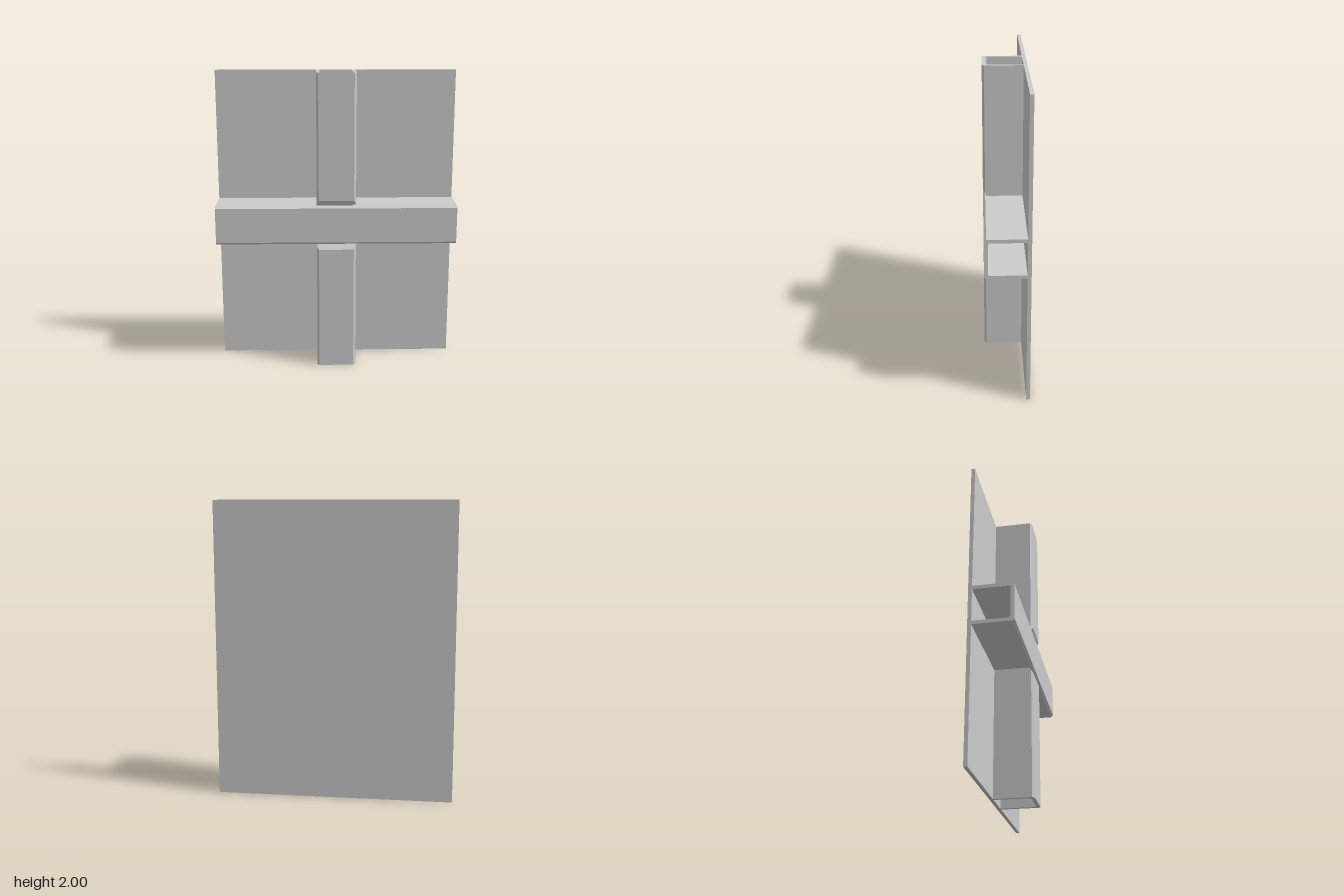
import * as THREE from 'three';

const HALF = 0.13;     // half width of the channels
const INNER = 0.107;   // half width of the hollow
const FRONT = 0.142;   // outermost front plane
const SEAT = -0.118;   // front face of the panel
const LIP = 0.117;     // inside of the channel's front wall
const CH = 0.014;      // outer corner chamfer
const FIL = 0.008;     // inner corner chamfer

const material = new THREE.MeshStandardMaterial({ color: 0xcccccc, flatShading: true });

// Channel running along +y from y = 0, open towards the panel
function channel(name, length, bevelStart) {
  const half = [
    [HALF, SEAT], [HALF, LIP], [HALF, FRONT - CH], [HALF - CH, FRONT],
  ];
  const hollow = [
    [INNER - FIL, LIP], [INNER, LIP - FIL], [INNER, SEAT],
  ];
  const mirror = (pts) => pts.map(([x, z]) => [-x, z]).reverse();
  const outline = [...half, ...mirror(half), ...mirror(hollow), ...hollow];
  const shape = new THREE.Shape(outline.map(([x, z]) => new THREE.Vector2(x, -z)));
  const geo = new THREE.ExtrudeGeometry(shape, { depth: length, bevelEnabled: false });
  geo.rotateX(-Math.PI / 2);

  // Slope the front wall away from the crossing
  if (bevelStart) {
    const p = geo.attributes.position;
    for (let i = 0; i < p.count; i++) {
      if (p.getY(i) < 0.001 && p.getZ(i) > LIP) {
        p.setY(i, (p.getZ(i) - LIP) * 1.5);
      }
    }
    geo.computeVertexNormals();
  }
  const mesh = new THREE.Mesh(geo, material);
  mesh.name = name;
  return mesh;
}

export function createModel() {
  const model = new THREE.Group();
  model.name = 'panelWithCrossedChannels';

  // Flat back panel
  const thickness = FRONT + SEAT;
  const panel = new THREE.Mesh(new THREE.BoxGeometry(1.6, 2, thickness), material);
  panel.name = 'backPanel';
  panel.position.set(0, 1, -FRONT + thickness / 2);
  model.add(panel);

  // Full-width horizontal channel
  const rail = channel('horizontalChannel', 1.6, false);
  rail.rotation.z = -Math.PI / 2;
  rail.position.set(-0.8, 1, 0);
  model.add(rail);

  // Vertical channels above and below it
  const upper = channel('upperChannel', 1 - HALF, true);
  upper.position.y = 1 + HALF;
  const lower = channel('lowerChannel', 1 - HALF, true);
  lower.rotation.z = Math.PI;
  lower.position.y = 1 - HALF;
  model.add(upper, lower);

  return model;
}
